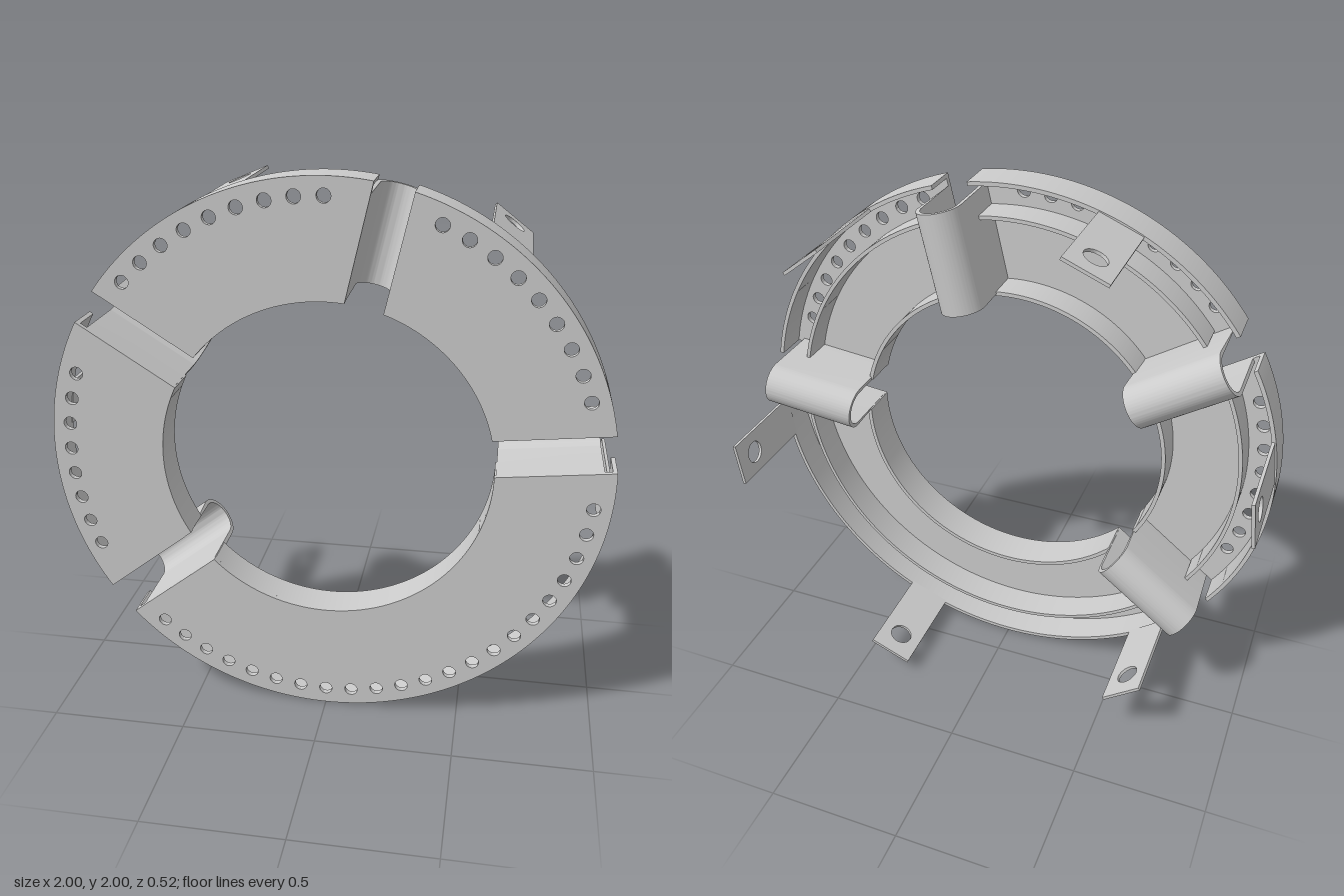
import * as THREE from 'three';
import { toCreasedNormals } from 'three/addons/utils/BufferGeometryUtils.js';

const RAD = Math.PI / 180;
const material = new THREE.MeshStandardMaterial({ color: 0xcccccc });
const INNER = 0.59, OUTER = 1, FRONT = 0.26, BACK = 0.12, SKIN = 0.02;
const GAP = 0.067;   // half width of each slot
const SHEET = 0.015; // thickness of walls and loops
const SLOTS = [6.3, 76.9, 147.6, 218.1];
const HOLES = [[18, 66], [90, 138], [162, 204], [228, 354]]; // first and last hole of each segment

function extrude(name, shape, depth, curveSegments) {
  const geometry = new THREE.ExtrudeGeometry(shape, { depth, curveSegments, bevelEnabled: false });
  const mesh = new THREE.Mesh(toCreasedNormals(geometry, 0.6), material);
  mesh.name = name;
  return mesh;
}

// Ring sector between two radial slots, with ends parallel to the slot axes
function sector(r0, r1, a0, a1, gap) {
  const d0 = Math.asin(gap / r0), d1 = Math.asin(gap / r1);
  const shape = new THREE.Shape();
  shape.absarc(0, 0, r1, a0 + d1, a1 - d1, false);
  shape.absarc(0, 0, r0, a1 - d0, a0 + d0, true);
  shape.closePath();
  return shape;
}

function circleHole(shape, x, y, r) {
  const path = new THREE.Path();
  path.absarc(x, y, r, 0, Math.PI * 2, true);
  shape.holes.push(path);
}

// Places a profile (x tangential, y backwards) so that it is extruded outwards from radius r
function placeRadially(mesh, angle, r) {
  const basis = new THREE.Matrix4().makeBasis(
    new THREE.Vector3(0, -1, 0), new THREE.Vector3(0, 0, -1), new THREE.Vector3(1, 0, 0));
  mesh.quaternion.setFromRotationMatrix(basis);
  mesh.position.x = r;
  const pivot = new THREE.Group();
  pivot.name = mesh.name + 'Mount';
  pivot.rotation.z = angle;
  pivot.add(mesh);
  return pivot;
}

// Hollow segment: perforated face, outer rim, rib and inner wall
function segment(index) {
  const group = new THREE.Group();
  group.name = 'ringSegment';
  const a0 = SLOTS[index] * RAD;
  const a1 = (index < 3 ? SLOTS[index + 1] : SLOTS[0] + 360) * RAD;

  const face = sector(INNER, OUTER, a0, a1, GAP);
  const [first, last] = HOLES[index];
  for (let a = first; a <= last; a += 6) {
    circleHole(face, 0.937 * Math.cos(a * RAD), 0.937 * Math.sin(a * RAD), 0.024);
  }
  const plate = extrude('facePlate', face, SKIN, 48);
  plate.position.z = FRONT - SKIN;
  group.add(plate);

  const walls = [
    ['outerRim', OUTER - SHEET, OUTER, GAP],
    ['rib', 0.868, 0.882, GAP + 0.008],
    ['innerWall', INNER, INNER + SHEET, GAP + 0.002],
  ];
  for (const [name, r0, r1, gap] of walls) {
    const wall = extrude(name, sector(r0, r1, a0, a1, gap), FRONT - SKIN - BACK, 48);
    wall.position.z = BACK;
    group.add(wall);
  }
  return group;
}

// U-shaped sheet bridging a slot behind the ring
function bridgeLoop(angle) {
  const outer = GAP + SHEET, start = -(FRONT - SKIN), centre = -0.017;
  const shape = new THREE.Shape();
  shape.moveTo(outer, start);
  shape.absarc(0, centre, outer, 0, Math.PI, false);
  shape.lineTo(-outer, start);
  shape.lineTo(-GAP, start);
  shape.absarc(0, centre, GAP, Math.PI, 0, true);
  shape.lineTo(GAP, start);
  shape.closePath();
  return placeRadially(extrude('bridgeLoop', shape, 0.365, 24), angle, INNER + 0.001);
}

// Flat mounting tab with a bolt hole, reaching back from the rim
function mountingTab(angle) {
  const w = 0.085;
  const shape = new THREE.Shape();
  shape.moveTo(-w, -BACK - 0.01);
  shape.lineTo(w, -BACK - 0.01);
  shape.lineTo(w, 0.263);
  shape.lineTo(-w, 0.263);
  shape.closePath();
  circleHole(shape, 0, 0.16, 0.043);
  return placeRadially(extrude('mountingTab', shape, 0.012, 24), angle, 0.981);
}

export function createModel() {
  const model = new THREE.Group();
  model.name = 'segmentedRing';
  SLOTS.forEach((slot, i) => {
    model.add(segment(i));
    model.add(bridgeLoop(slot * RAD));
  });
  for (let i = 0; i < 6; i++) model.add(mountingTab((52.5 + 60 * i) * RAD));
  for (const part of model.children) part.position.y = 1;
  return model;
}
